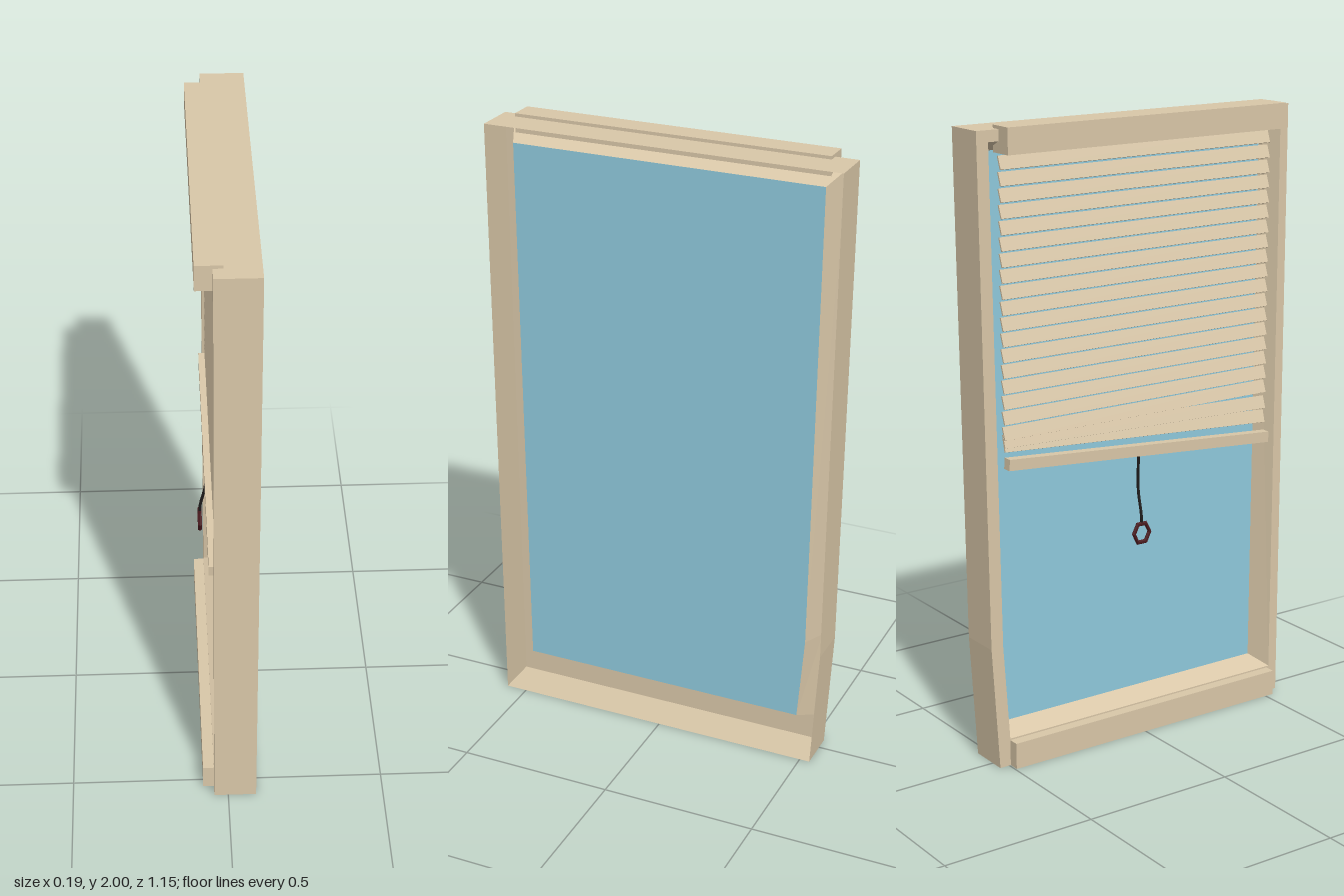
import * as THREE from 'three';

const mat = (color, side = THREE.FrontSide) =>
  new THREE.MeshStandardMaterial({ color, side, flatShading: true });

// Band of quads joining two closed loops; each loop is [x, [[z, y], ...]]
function band([xa, a], [xb, b]) {
  const pos = [];
  a.forEach((p, i) => {
    const j = (i + 1) % a.length;
    const A = [xa, p[1], p[0]], B = [xa, a[j][1], a[j][0]];
    const C = [xb, b[j][1], b[j][0]], D = [xb, b[i][1], b[i][0]];
    pos.push(...A, ...B, ...C, ...A, ...C, ...D);
  });
  const g = new THREE.BufferGeometry();
  g.setAttribute('position', new THREE.Float32BufferAttribute(pos, 3));
  g.computeVertexNormals();
  return g;
}

export function createModel() {
  const group = new THREE.Group();
  const wood = mat(0xd9c7a8), woodThin = mat(0xd9c7a8, THREE.DoubleSide);
  const glass = mat(0x8fc9dc, THREE.DoubleSide);
  const black = mat(0x1c1a1a), red = mat(0x4a1a1e);

  const add = (name, geo, material, parent = group) => {
    const m = new THREE.Mesh(geo, material);
    m.name = name;
    parent.add(m);
    return m;
  };
  const box = (name, x0, x1, y0, y1, z0, z1) => {
    const m = add(name, new THREE.BoxGeometry(x1 - x0, y1 - y0, z1 - z0), wood);
    m.position.set((x0 + x1) / 2, (y0 + y1) / 2, (z0 + z1) / 2);
    return m;
  };

  // Frame outlines (z, y): one jamb leans inward toward the bottom
  const outer = [[0.575, 1.99], [-0.575, 1.99], [-0.557, 0.4], [-0.533, 0], [0.57, 0]];
  const inner = [[0.545, 1.955], [-0.535, 1.955], [-0.515, 0.4], [-0.495, 0.09], [0.538, 0.09]];
  const pane = [[0.513, 1.92], [-0.5, 1.92], [-0.482, 0.4], [-0.46, 0.12], [0.503, 0.12]];
  const FRONT = 0.09, BACK = -0.045, GLASS = 0.025;

  // Open casing: outer walls, back face, and reveal leading to the glass
  add('frameWalls', band([FRONT, outer], [BACK, outer]), woodThin);
  add('frameFace', band([BACK, outer], [BACK, inner]), woodThin);
  add('glassReveal', band([BACK, inner], [GLASS, pane]), woodThin);

  // Glass pane; shape drawn in (-z, y) and turned to face +x
  const paneShape = new THREE.Shape(pane.map(([z, y]) => new THREE.Vector2(-z, y)));
  const paneMesh = add('glassPane', new THREE.ShapeGeometry(paneShape), glass);
  paneMesh.rotation.y = Math.PI / 2;
  paneMesh.position.x = GLASS;

  // Sill and blind head rail
  box('sill', -0.08, BACK, 0, 0.085, -0.495, 0.53);
  box('headRail', -0.095, -0.015, 1.92, 2, -0.5, 0.525);

  // Blind slats, nearly closed; the lowest ones sag toward +z
  const blind = new THREE.Group();
  blind.name = 'blind';
  group.add(blind);
  const slatGeo = new THREE.BoxGeometry(0.006, 0.042, 1.0);
  const slat = (y, sag) => {
    const s = add('slat', slatGeo, wood, blind);
    s.position.set(-0.028, y, 0.01);
    s.rotation.set(Math.atan(sag), 0, -0.35);
  };
  for (let i = 0; i < 18; i++) slat(1.89 - i * 0.048, 0);
  slat(1.035, 0.03);
  slat(1.005, 0.065);

  const rail = add('bottomRail', new THREE.BoxGeometry(0.03, 0.035, 1.0), wood, blind);
  rail.position.set(-0.043, 0.945, 0.01);
  rail.rotation.x = Math.atan(0.075);

  // Pull cord and ring handle
  const cordPath = new THREE.CatmullRomCurve3([
    [-0.052, 0.93], [-0.051, 0.82], [-0.068, 0.74], [-0.07, 0.715],
  ].map(([x, y]) => new THREE.Vector3(x, y, -0.01)));
  add('pullCord', new THREE.TubeGeometry(cordPath, 12, 0.005, 6), black);

  const ring = add('pullHandle', new THREE.TorusGeometry(0.03, 0.007, 6, 6), red);
  ring.rotation.set(0, Math.PI / 2, 0);
  ring.scale.y = 1.15;
  ring.position.set(-0.07, 0.68, -0.01);

  return group;
}
